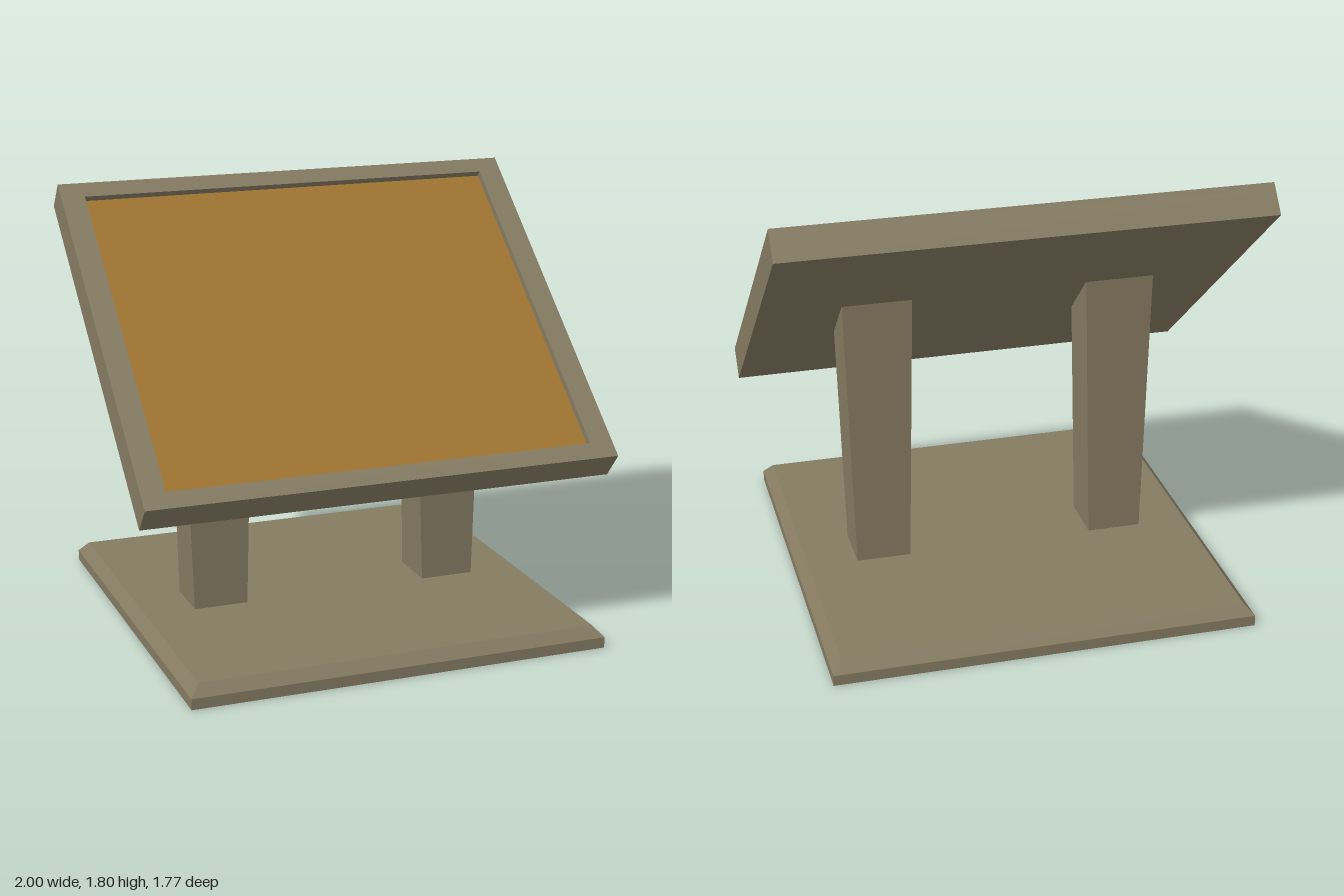
import * as THREE from 'three';

const bodyMat = new THREE.MeshStandardMaterial({ color: 0x857b62, flatShading: true });
const panelMat = new THREE.MeshStandardMaterial({ color: 0xa07430, flatShading: true });

// Unit box whose corners are moved by a rule, then re-faceted
function shapedBox(rows, rule) {
  const geo = new THREE.BoxGeometry(1, 1, 1, 1, rows, 1).toNonIndexed();
  const p = geo.attributes.position;
  for (let i = 0; i < p.count; i++) {
    p.setXYZ(i, ...rule(Math.sign(p.getX(i)), p.getY(i) + 0.5, Math.sign(p.getZ(i))));
  }
  geo.computeVertexNormals();
  return geo;
}

function addMesh(parent, name, geo, mat = bodyMat) {
  const mesh = new THREE.Mesh(geo, mat);
  mesh.name = name;
  parent.add(mesh);
  return mesh;
}

function rectangle(target, w, h) {
  target.moveTo(-w / 2, -h / 2);
  target.lineTo(w / 2, -h / 2);
  target.lineTo(w / 2, h / 2);
  target.lineTo(-w / 2, h / 2);
  target.closePath();
  return target;
}

export function createModel() {
  const model = new THREE.Group();
  model.name = 'informationBoard';

  // Base plate: upright lower edge, chamfered upper edge
  addMesh(model, 'base', shapedBox(2, (sx, t, sz) => {
    const inset = t > 0.75 ? 0.04 : 0;
    return [sx * (0.88 - inset), t * 0.09, sz * (0.885 - inset)];
  }));

  // Two posts, flaring sideways toward slanted tops
  for (const side of [-1, 1]) {
    const name = side > 0 ? 'leftPost' : 'rightPost';
    addMesh(model, name, shapedBox(1, (sx, t, sz) => {
      const top = t > 0.5;
      const x = side * 0.514 + sx * (top ? 0.145 : 0.115);
      const y = top ? 1.172 - sz * 0.1 : 0.08;
      return [x, y, sz * (top ? 0.103 : 0.112)];
    }));
  }

  // Tilted board: back slab, raised rim and recessed panel
  const width = 2, height = 1.62, thick = 0.137, recess = 0.03, border = 0.075;
  const board = new THREE.Group();
  board.name = 'board';
  board.position.set(0, 1.226, 0.055);
  board.rotation.x = -THREE.MathUtils.degToRad(50.2);
  model.add(board);

  const slab = addMesh(board, 'backSlab', new THREE.BoxGeometry(width, height, thick - recess));
  slab.position.z = -recess / 2;

  const openW = width - 0.2, openH = height - 2 * border;
  const rimShape = rectangle(new THREE.Shape(), width, height);
  rimShape.holes.push(rectangle(new THREE.Path(), openW, openH));
  const rim = addMesh(board, 'rim',
    new THREE.ExtrudeGeometry(rimShape, { depth: recess, bevelEnabled: false }));
  rim.position.z = thick / 2 - recess;

  const panel = addMesh(board, 'displayPanel', new THREE.PlaneGeometry(openW, openH), panelMat);
  panel.position.z = thick / 2 - recess + 0.002;

  return model;
}
